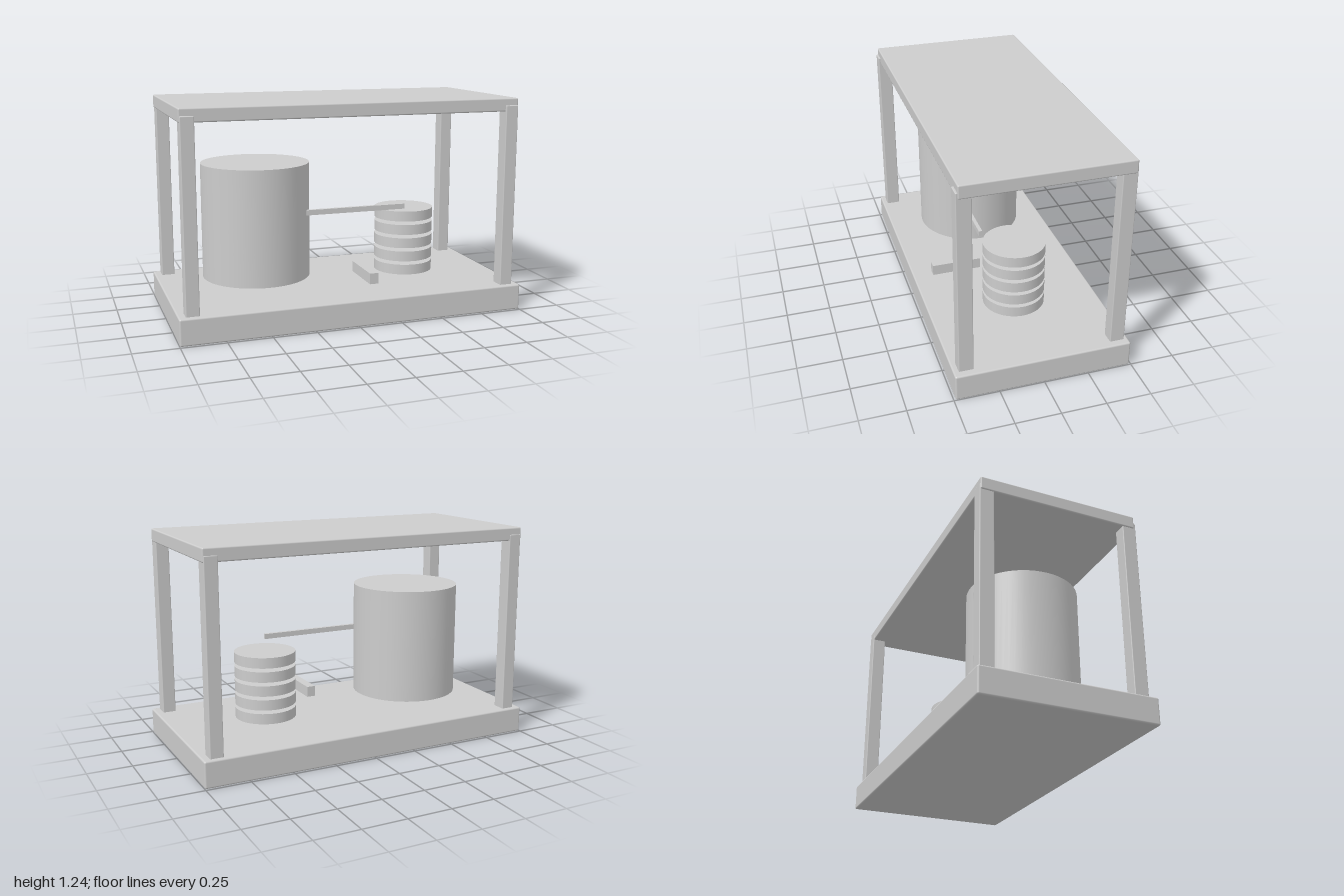
import * as THREE from 'three';
import { RoundedBoxGeometry } from 'three/addons/geometries/RoundedBoxGeometry.js';

export function createModel() {
  const group = new THREE.Group();
  const grey = new THREE.MeshStandardMaterial({ color: 0xcccccc });
  grey.name = 'light grey';

  const add = (name, geometry, x, y, z) => {
    const mesh = new THREE.Mesh(geometry, grey);
    mesh.name = name;
    mesh.position.set(x, y, z);
    group.add(mesh);
    return mesh;
  };
  // Box given by its minimum and maximum on each axis, with softened edges
  const box = (name, [x0, x1], [y0, y1], [z0, z1], radius) => add(
    name,
    radius
      ? new RoundedBoxGeometry(x1 - x0, y1 - y0, z1 - z0, 2, radius)
      : new THREE.BoxGeometry(x1 - x0, y1 - y0, z1 - z0),
    (x0 + x1) / 2, (y0 + y1) / 2, (z0 + z1) / 2);
  const drum = (name, radius, y0, y1, x) => add(
    name, new THREE.CylinderGeometry(radius, radius, y1 - y0, 64), x, (y0 + y1) / 2, 0);

  // Plinth and roof slab
  box('base', [-1, 1], [0, 0.15], [-0.49, 0.49], 0.01);
  box('roof', [-0.965, 0.965], [1.165, 1.24], [-0.463, 0.45], 0.008);

  // Corner posts, running up into the roof
  for (const side of [-1, 1]) {
    const x = side > 0 ? [0.885, 0.96] : [-0.96, -0.885];
    const label = side > 0 ? 'left' : 'right';
    box(label + 'FrontPost', x, [0.145, 1.2], [0.38, 0.461], 0.005);
    box(label + 'BackPost', x, [0.145, 1.2], [-0.466, -0.385], 0.005);
  }

  // Large drum
  drum('tank', 0.31, 0.22, 0.88, -0.465);

  // Stack of separate discs
  for (let i = 0; i < 5; i++) {
    const y = 0.177 + i * 0.0812;
    drum('coilDisc' + (i + 1), 0.175, y, y + 0.06, 0.46);
  }

  // Connecting rod and small loose block
  box('pipe', [-0.21, 0.39], [0.585, 0.615], [0.162, 0.182]);
  box('valveBlock', [0.095, 0.145], [0.21, 0.272], [0.105, 0.392]);

  return group;
}
